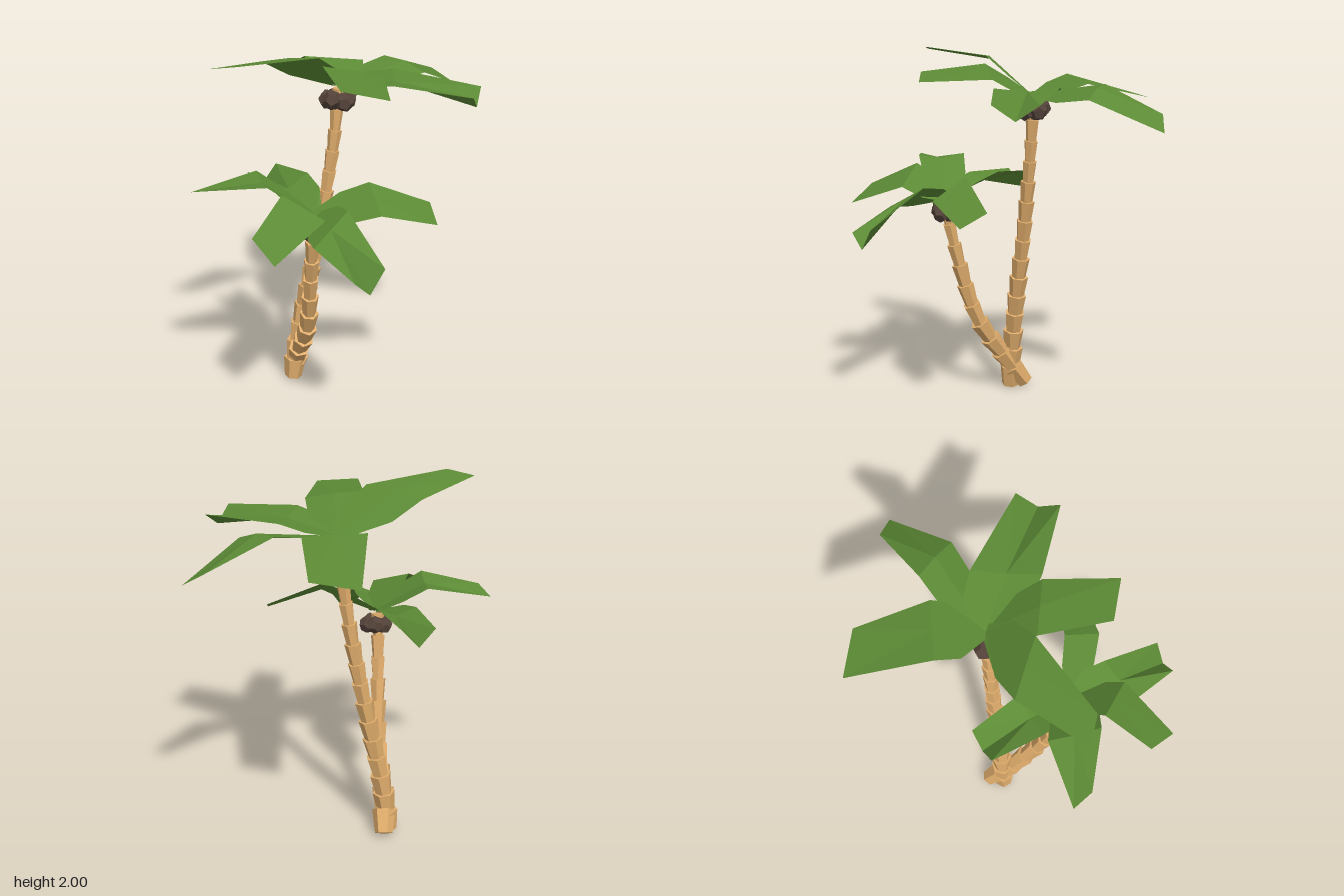
import * as THREE from 'three';

const V = (p) => new THREE.Vector3(...p);
const mat = (color, side = THREE.FrontSide) =>
  new THREE.MeshStandardMaterial({ color, side, flatShading: true });
const barkMat = mat(0xe0ad6c);
const leafMat = mat(0x5c8a35, THREE.DoubleSide);
const nutMat = mat(0x54433a);

// Trunk: flared six-sided sleeves stacked along a curved path
function trunk(points, count, rBase, rTop) {
  const group = new THREE.Group();
  group.name = 'trunk';
  const pts = new THREE.CatmullRomCurve3(points.map(V)).getSpacedPoints(count);
  for (let i = 0; i < count; i++) {
    const dir = pts[i + 1].clone().sub(pts[i]);
    const r = THREE.MathUtils.lerp(rBase, rTop, i / (count - 1));
    const len = dir.length() * 1.06;
    const sleeve = new THREE.Mesh(new THREE.CylinderGeometry(r, r * 0.76, len, 6), barkMat);
    sleeve.name = 'trunkSegment';
    sleeve.position.copy(pts[i]).lerp(pts[i + 1], 0.5);
    sleeve.quaternion.setFromUnitVectors(new THREE.Vector3(0, 1, 0), dir.normalize());
    sleeve.rotateY(i * 0.25);
    group.add(sleeve);
  }
  return group;
}

// Frond: rows of left edge, rib and right edge, from the crown out to a blunt tip
function frond(crown, [midL, midR, midFold, tipL, tipR, tipFold]) {
  const row = (l, r, fold) => {
    const a = V(l), b = V(r), c = a.clone().lerp(b, 0.5);
    c.y += fold;
    return [a, c, b];
  };
  const base = V(crown);
  const mid = row(midL, midR, midFold);
  const tip = row(tipL, tipR, tipFold);
  const side = mid[0].clone().sub(mid[2]).normalize().multiplyScalar(0.04);
  const root = [base.clone().add(side), base, base.clone().sub(side)];
  const nearC = base.clone().lerp(mid[1], 0.5);
  const near = mid.map((p) => p.clone().sub(mid[1]).multiplyScalar(0.92).add(nearC));
  const rows = [root, near, mid, tip];
  const verts = [];
  for (let i = 0; i < 3; i++) {
    for (let j = 0; j < 2; j++) {
      const a = rows[i][j], b = rows[i][j + 1], c = rows[i + 1][j + 1], d = rows[i + 1][j];
      // Mirror the diagonal across the rib, keeping upward winding
      const tris = j === 0 ? [a, b, d, b, c, d] : [a, b, c, a, c, d];
      for (const p of tris) verts.push(p.x, p.y, p.z);
    }
  }
  const geo = new THREE.BufferGeometry();
  geo.setAttribute('position', new THREE.Float32BufferAttribute(verts, 3));
  geo.computeVertexNormals();
  const mesh = new THREE.Mesh(geo, leafMat);
  mesh.name = 'frond';
  return mesh;
}

// Coconuts: ring of faceted lumps under the crown
function coconuts([x, y, z], ring, size) {
  const group = new THREE.Group();
  group.name = 'coconuts';
  for (let i = 0; i < 5; i++) {
    const a = (i / 5) * Math.PI * 2 + 0.4;
    const nut = new THREE.Mesh(new THREE.DodecahedronGeometry(size), nutMat);
    nut.name = 'coconut';
    nut.position.set(x + Math.cos(a) * ring, y + (i % 2) * 0.012, z + Math.sin(a) * ring);
    nut.rotation.set(i * 0.7, i * 1.3, i * 0.4);
    group.add(nut);
  }
  return group;
}

function palm(name, { path, count, rBase, rTop, crown, nuts, ring, nutSize, fronds }) {
  const group = new THREE.Group();
  group.name = name;
  group.add(trunk(path, count, rBase, rTop), coconuts(nuts, ring, nutSize));
  for (const f of fronds) group.add(frond(crown, f));
  return group;
}

export function createModel() {
  const model = new THREE.Group();
  model.name = 'palmTrees';

  // Each frond: mid left, mid right, mid rib offset, tip left, tip right, tip rib offset
  model.add(palm('tallPalm', {
    path: [[-0.335, 0.012, 0.07], [-0.31, 0.27, 0.05], [-0.265, 0.55, 0.015],
      [-0.2, 1.0, -0.05], [-0.145, 1.45, -0.1], [-0.125, 1.74, -0.12]],
    count: 15, rBase: 0.066, rTop: 0.034,
    crown: [-0.12, 1.76, -0.12], nuts: [-0.125, 1.68, -0.112], ring: 0.056, nutSize: 0.054,
    fronds: [
      [[-0.4, 1.86, -0.24], [-0.13, 1.83, -0.42], 0, [-0.65, 1.73, -0.61], [-0.41, 1.74, -0.7], 0],
      [[-0.05, 1.84, -0.53], [0.21, 1.78, -0.5], 0.02, [0.1, 1.71, -0.86], [0.23, 1.63, -0.89], 0],
      [[0.1, 1.83, -0.33], [0.25, 1.83, -0.01], -0.02, [0.6, 1.79, -0.35], [0.65, 1.79, -0.12], -0.08],
      [[-0.08, 1.93, 0.14], [0.21, 1.87, 0.01], 0.01, [0.17, 1.9, 0.415], [0.4, 1.865, 0.34], 0],
      [[-0.41, 1.93, 0.2], [-0.1, 1.97, 0.14], 0.01, [-0.46, 1.98, 0.61], [-0.31, 2, 0.57], 0],
    ],
  }));

  model.add(palm('shortPalm', {
    path: [[-0.365, 0.03, -0.01], [-0.275, 0.22, 0.1], [-0.2, 0.35, 0.165], [-0.145, 0.47, 0.215],
      [-0.108, 0.63, 0.26], [-0.075, 0.82, 0.3], [-0.045, 1.0, 0.335], [-0.025, 1.16, 0.355]],
    count: 10, rBase: 0.066, rTop: 0.036,
    crown: [-0.02, 1.19, 0.34], nuts: [-0.022, 1.105, 0.345], ring: 0.048, nutSize: 0.05,
    fronds: [
      [[0.2, 1.28, 0.4], [0.13, 1.15, 0.63], 0, [0.5, 1.1, 0.585], [0.41, 1.06, 0.73], -0.1],
      [[0.15, 1.27, 0.545], [-0.095, 1.365, 0.55], 0, [0.06, 1.145, 0.89], [-0.1, 1.235, 0.83], 0],
      [[-0.17, 1.395, 0.565], [-0.36, 1.39, 0.36], -0.02, [-0.48, 1.36, 0.675], [-0.59, 1.32, 0.63], 0],
      [[-0.32, 1.29, 0.31], [-0.2, 1.32, 0.1], -0.05, [-0.56, 1.28, 0.145], [-0.47, 1.29, -0.02], -0.1],
      [[0.2, 1.355, 0.16], [0.34, 1.24, 0.3], 0, [0.46, 1.22, 0.04 - 0.08], [0.555, 1.15, 0.075], 0],
    ],
  }));
  return model;
}
